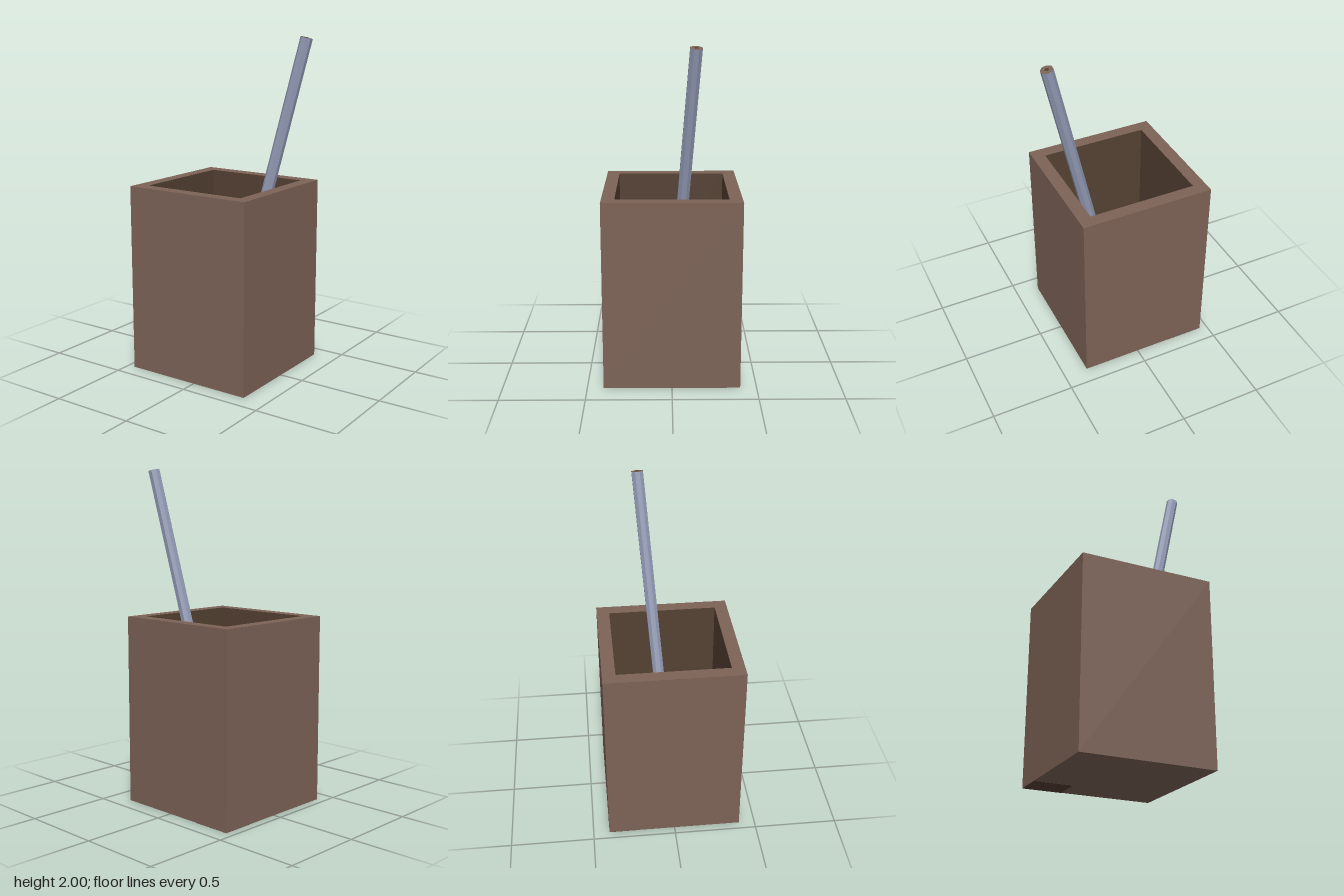
import * as THREE from 'three';

const brown = new THREE.MeshStandardMaterial({ color: 0x7d6357 });
brown.name = 'brown wood';
const dark = new THREE.MeshStandardMaterial({ color: 0x554133 });
dark.name = 'dark brown';
const blue = new THREE.MeshStandardMaterial({ color: 0x949cb6, flatShading: true });
blue.name = 'grey blue';

function addMesh(parent, name, geometry, material) {
  const mesh = new THREE.Mesh(geometry, material);
  mesh.name = name;
  parent.add(mesh);
  return mesh;
}

// Box without its top face, standing on y = 0; inward turns the faces to the inside
function openBox(size, height, inward = false) {
  const g = new THREE.BoxGeometry(size, height, size).translate(0, height / 2, 0);
  g.setIndex([...g.index.array].filter((_, i) => i < 12 || i > 17)); // drop the +y face
  g.clearGroups();
  if (inward) {
    g.scale(-1, 1, 1);
    g.computeVertexNormals();
  }
  return g;
}

function square(size) {
  const h = size / 2;
  return [[-h, -h], [h, -h], [h, h], [-h, h]].map(([x, y]) => new THREE.Vector2(x, y));
}

function createHolder() {
  const outer = 0.806, inner = 0.653, height = 1.13, floor = 0.03;
  const holder = new THREE.Group();
  holder.name = 'holder';
  holder.position.x = -0.049;

  addMesh(holder, 'outerWalls', openBox(outer, height), brown);
  addMesh(holder, 'innerWalls', openBox(inner, height - floor, true), dark).position.y = floor;

  // Flat rim joining the outer and inner walls
  const rim = new THREE.Shape(square(outer));
  rim.holes.push(new THREE.Path(square(inner)));
  addMesh(holder, 'rim', new THREE.ShapeGeometry(rim).rotateX(-Math.PI / 2), brown).position.y = height;

  // Dark patch under the back corner
  const patch = addMesh(holder, 'basePatch', new THREE.BoxGeometry(0.235, 0.002, 0.185), dark);
  patch.position.set(-outer / 2 + 0.1175, 0, -outer / 2 + 0.0925);
  return holder;
}

function createPencil() {
  const bottom = new THREE.Vector3(-0.043, 0.042, 0.013);
  const top = new THREE.Vector3(0.418, 1.991, -0.128);
  const axis = top.clone().sub(bottom);
  const length = axis.length();
  const radius = 0.036;
  const pencil = new THREE.Group();
  pencil.name = 'pencil';
  pencil.position.copy(bottom);
  pencil.quaternion.setFromUnitVectors(new THREE.Vector3(0, 1, 0), axis.normalize());

  // Octagonal body with cut ends of bare wood
  const body = new THREE.CylinderGeometry(radius, radius, length, 8)
    .rotateY(Math.PI / 8).translate(0, length / 2, 0);
  addMesh(pencil, 'pencilBody', body, [blue, brown, brown]);

  // Lead showing at the top end
  const lead = new THREE.CylinderGeometry(0.012, 0.012, 0.004, 8).rotateY(Math.PI / 8);
  addMesh(pencil, 'lead', lead, dark).position.y = length;
  return pencil;
}

export function createModel() {
  const model = new THREE.Group();
  model.name = 'pencilHolder';
  model.add(createHolder(), createPencil());
  return model;
}
